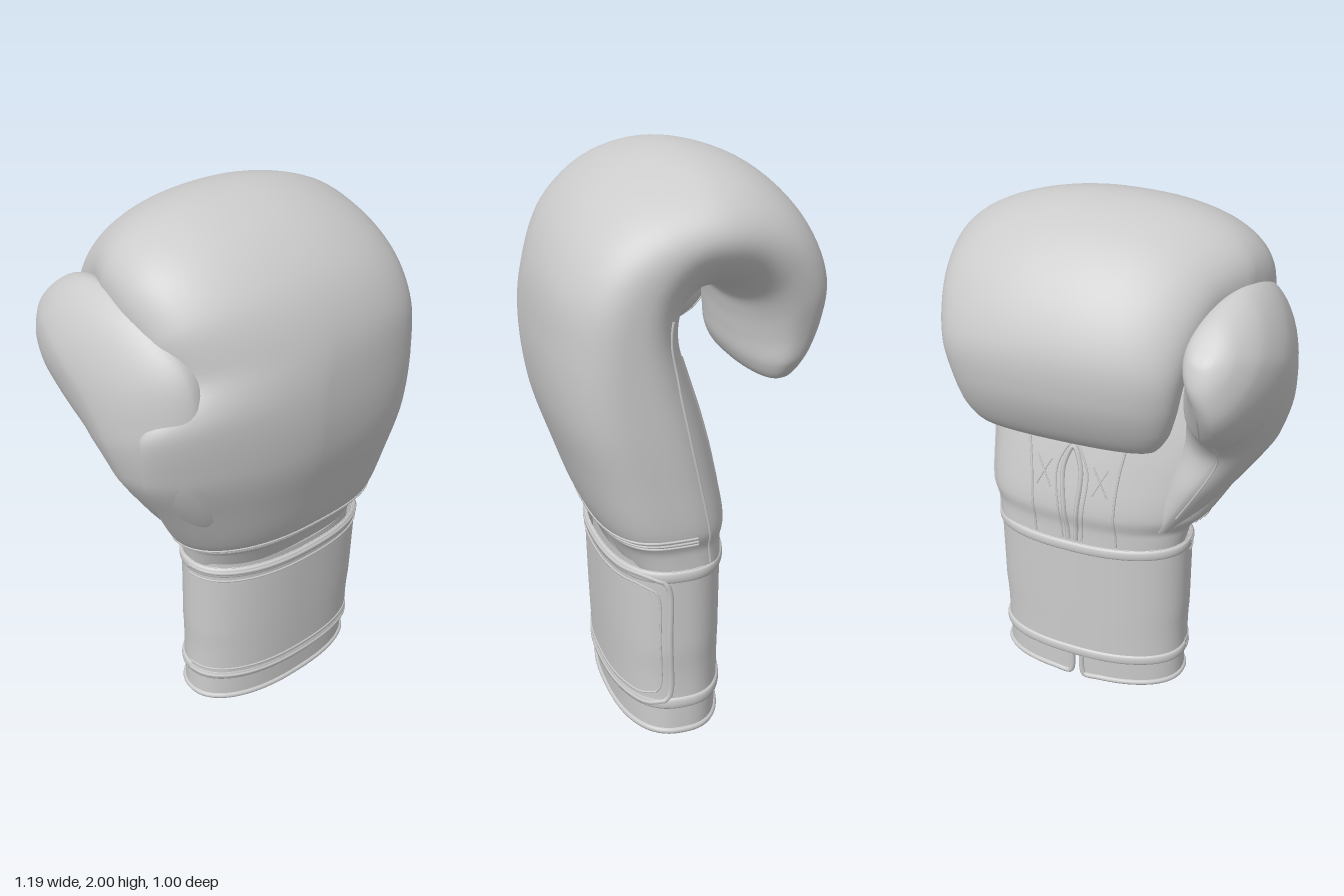
import * as THREE from 'three';

const grey = new THREE.MeshStandardMaterial({ color: 0xcccccc, side: THREE.DoubleSide });
const PI = Math.PI;
const power = (c, e) => Math.sign(c) * Math.pow(Math.abs(c), e);

// Smooth surface through sections [outerZ, outerY, innerZ, innerY, xMin, xMax, roundness -x, +x].
// Returns point(i, angle, offset): i is the (fractional) section number,
// angle 0 = +x side, PI/2 = outer side, PI = -x side, -PI/2 = inner side.
function loft(rows) {
  const curve = f => new THREE.CatmullRomCurve3(rows.map(f));
  const outer = curve(r => new THREE.Vector3(0, r[1], r[0]));
  const inner = curve(r => new THREE.Vector3(0, r[3], r[2]));
  const width = curve(r => new THREE.Vector3(r[4], r[5], 0));
  const round = curve(r => new THREE.Vector3(r[6], r[7], 0));
  return (i, a, off = 0) => {
    const t = Math.min(1, Math.max(0, i / (rows.length - 1)));
    const o = outer.getPoint(t), n = inner.getPoint(t), w = width.getPoint(t), k = round.getPoint(t);
    const e = 2 / (Math.cos(a) < 0 ? k.x : k.y);
    const half = o.clone().sub(n).multiplyScalar(0.5);
    if (off) half.setLength(half.length() + off);
    const p = o.add(n).multiplyScalar(0.5).addScaledVector(half, power(Math.sin(a), e));
    p.x = (w.x + w.y) / 2 + ((w.y - w.x) / 2 + off) * power(Math.cos(a), e);
    return p;
  };
}

// Grid mesh of fn(s, a), s in 0..1, a from a0 to a1; a full turn is welded.
function skin(name, fn, ns, na, a0 = 0, a1 = 2 * PI) {
  const closed = Math.abs(a1 - a0 - 2 * PI) < 1e-6;
  const cols = closed ? na : na + 1;
  const pos = [], idx = [];
  for (let i = 0; i <= ns; i++)
    for (let j = 0; j < cols; j++)
      pos.push(...fn(i / ns, a0 + (a1 - a0) * j / na).toArray());
  for (let i = 0; i < ns; i++)
    for (let j = 0; j < na; j++) {
      const k = (j + 1) % cols, p = i * cols, q = p + cols;
      idx.push(p + j, q + j, p + k, q + j, q + k, p + k);
    }
  const g = new THREE.BufferGeometry();
  g.setAttribute('position', new THREE.Float32BufferAttribute(pos, 3));
  g.setIndex(idx);
  g.computeVertexNormals();
  const m = new THREE.Mesh(g, grey);
  m.name = name;
  return m;
}

// Thin cord laid on a surface along pairs of its two coordinates.
function cord(name, surface, path, radius, off = 0.001) {
  const line = new THREE.CatmullRomCurve3(path.map(p => new THREE.Vector3(p[0], p[1], 0)));
  const pts = [];
  for (let k = 0; k <= 60; k++) {
    const p = line.getPoint(k / 60);
    pts.push(surface(p.x, p.y, off));
  }
  const m = new THREE.Mesh(
    new THREE.TubeGeometry(new THREE.CatmullRomCurve3(pts), 90, radius, 6), grey);
  m.name = name;
  return m;
}

export function createModel() {
  const glove = new THREE.Group();
  glove.name = 'boxingGlove';

  // Padded hand: rises from the wrist and curls over into the fist
  const body = loft([
    [0.25, 0.64, -0.11, 0.64, -0.21, 0.545, 2.2, 3],
    [0.285, 0.72, -0.11, 0.72, -0.23, 0.55, 2.2, 3],
    [0.34, 0.79, -0.12, 0.79, -0.30, 0.575, 2.1, 3],
    [0.42, 1.00, -0.09, 0.97, -0.42, 0.585, 1.8, 3],
    [0.48, 1.20, -0.05, 1.13, -0.52, 0.59, 1.6, 3],
    [0.50, 1.42, 0.00, 1.30, -0.55, 0.59, 1.6, 2.8],
    [0.475, 1.63, 0.03, 1.41, -0.43, 0.59, 1.9, 2.5],
    [0.39, 1.80, 0.015, 1.48, -0.465, 0.59, 2.1, 2.2],
    [0.22, 1.94, -0.03, 1.52, -0.48, 0.59, 2.3, 1.95],
    [0.00, 2.00, -0.085, 1.535, -0.46, 0.59, 2.3, 1.95],
    [-0.22, 1.95, -0.14, 1.52, -0.40, 0.565, 2.2, 2],
    [-0.39, 1.81, -0.18, 1.49, -0.365, 0.535, 2.2, 2.2],
    [-0.49, 1.62, -0.195, 1.43, -0.34, 0.505, 2.3, 2.3],
    [-0.49, 1.47, -0.20, 1.36, -0.32, 0.475, 2.3, 2.3],
    [-0.45, 1.35, -0.207, 1.285, -0.29, 0.45, 2.3, 2.3],
    [-0.39, 1.26, -0.235, 1.235, -0.24, 0.40, 2.3, 2.3],
    [-0.31, 1.218, -0.305, 1.218, -0.12, 0.28, 2.3, 2.3],
  ]);
  glove.add(skin('paddedFist', (s, a) => body(s * 16, a), 110, 96));

  // Thumb: flat pad along the side, leaning back towards its tip
  const thumb = loft([
    [0.18, 0.74, -0.05, 0.74, -0.22, -0.08, 1.7, 2],
    [0.30, 0.95, -0.08, 0.95, -0.40, -0.14, 1.7, 2],
    [0.35, 1.18, -0.09, 1.12, -0.535, -0.20, 1.7, 2],
    [0.37, 1.40, -0.17, 1.22, -0.585, -0.22, 1.65, 2],
    [0.325, 1.59, -0.27, 1.28, -0.60, -0.24, 1.65, 2],
    [0.13, 1.73, -0.35, 1.36, -0.60, -0.29, 1.65, 2],
    [-0.10, 1.77, -0.40, 1.44, -0.565, -0.33, 1.7, 2],
    [-0.27, 1.73, -0.42, 1.53, -0.505, -0.345, 1.8, 2],
    [-0.36, 1.66, -0.40, 1.61, -0.45, -0.38, 2, 2],
    [-0.38, 1.64, -0.381, 1.64, -0.416, -0.415, 2, 2],
  ]);
  glove.add(skin('thumb', (s, a) => thumb(s * 9, a), 70, 56));
  glove.add(cord('thumbSeam', thumb, [[0.4, -1.9], [1.5, -1.8], [3, -1.5], [4.5, -1.3], [6, -1.2]], 0.004));

  // Palm side of the body, addressed by section number and x
  const palm = (i, x, off) => {
    let lo = -PI, hi = 0;
    for (let k = 0; k < 24; k++) {
      const mid = (lo + hi) / 2;
      if (body(i, mid).x < x) lo = mid; else hi = mid;
    }
    return body(i, lo, off);
  };

  // Palm seams, lacing slot and cross stitches
  glove.add(cord('sideSeam', body, [[0.3, -0.35], [2.5, -0.35], [4, -0.4], [5.5, -0.5], [6.6, -0.5]], 0.005));
  glove.add(cord('innerPalmSeam', palm, [[0.3, 0.33], [2.5, 0.34], [4, 0.38], [5.5, 0.45]], 0.005));
  glove.add(cord('thumbSidePalmSeam', palm, [[0.3, 0.0], [2.5, 0.0], [4, -0.04], [5.5, -0.1]], 0.005));
  for (const [grow, r] of [[0, 0.01], [0.025, 0.004]])
    glove.add(cord('palmSlotEdge', palm, [
      [0.3, 0.19 + grow], [2, 0.2 + grow], [3, 0.21 + grow], [3.5 + grow * 4, 0.175],
      [3, 0.14 - grow], [2, 0.15 - grow], [0.3, 0.16 - grow]], r));
  for (const x of [0.29, 0.06])
    for (const s of [1, -1])
      glove.add(cord('crossStitch', palm, [[2.5, x + s * 0.03], [3.1, x - s * 0.03]], 0.003));

  // Stitched ribs around the front of the neck
  for (const i of [1.5, 1.7, 1.9])
    glove.add(cord('neckRib', body, [[i, -0.15], [i, 0.7], [i, 1.6], [i, 2.5], [i, 3.3]], 0.005));

  // Cuff, split at the back of its lower hem; heights are given in units
  const cuffRows = loft([
    [0.27, 0, -0.115, 0, -0.22, 0.55, 2.2, 2.5],
    [0.285, 0.33, -0.118, 0.33, -0.22, 0.55, 2.2, 2.5],
    [0.295, 0.66, -0.12, 0.66, -0.222, 0.553, 2.2, 2.5],
  ]);
  const cuff = (y, a, off) => cuffRows(y / 0.33, a, off);
  const gap0 = -PI / 2 + 0.035, gap1 = 1.5 * PI - 0.035;
  glove.add(skin('cuffHem', (s, a) => cuff(0.01 + s * 0.12, a, -0.004), 3, 96, gap0, gap1));
  glove.add(skin('cuffLining', (s, a) => cuff(0.01 + s * 0.65, a, -0.02), 6, 96, gap0, gap1));
  const hemPath = [[0.12, gap0], [0.04, gap0]];
  for (let k = 0; k <= 40; k++) hemPath.push([0.012, gap0 + 0.02 + (gap1 - gap0 - 0.04) * k / 40]);
  hemPath.push([0.04, gap1], [0.12, gap1]);
  const hem = new THREE.Mesh(new THREE.TubeGeometry(new THREE.CatmullRomCurve3(
    hemPath.map(p => cuff(p[0], p[1], -0.006))), 200, 0.012, 8), grey);
  hem.name = 'hemPiping';
  glove.add(hem);

  // Wrist strap with raised borders
  glove.add(skin('wristStrap', (s, a) => cuff(0.105 + s * 0.555, a, 0.003), 12, 96));
  for (const y of [0.108, 0.615])
    glove.add(skin('strapBorder', (s, a) =>
      cuff(y + s * 0.045, a, 0.012 * Math.pow(Math.max(0, Math.sin(PI * s)), 0.3)), 10, 96));

  // Fastening flap over the front, ending in rounded corners on the +x side
  glove.add(skin('strapFlap', (s, a) => {
    const corner = Math.pow(Math.abs(2 * s - 1), 8) * 0.12;
    const b = a < 1 ? a + corner * (1 - a) : a;
    return cuff(0.12 + s * 0.53, b, 0.009);
  }, 16, 64, 0.16, PI));
  for (const [inset, r, off] of [[0, 0.011, 0.006], [0.035, 0.004, 0.01]]) {
    const lo = 0.13 + inset, hi = 0.64 - inset, end = 0.16 + inset * 4;
    glove.add(cord('flapPiping', cuff, [
      [lo, PI], [lo, 2], [lo, 1], [lo + 0.005, end + 0.25], [lo + 0.05, end],
      [(lo + hi) / 2, end], [hi - 0.05, end], [hi - 0.005, end + 0.25],
      [hi, 1], [hi, 2], [hi, PI]], r, off));
  }
  return glove;
}
